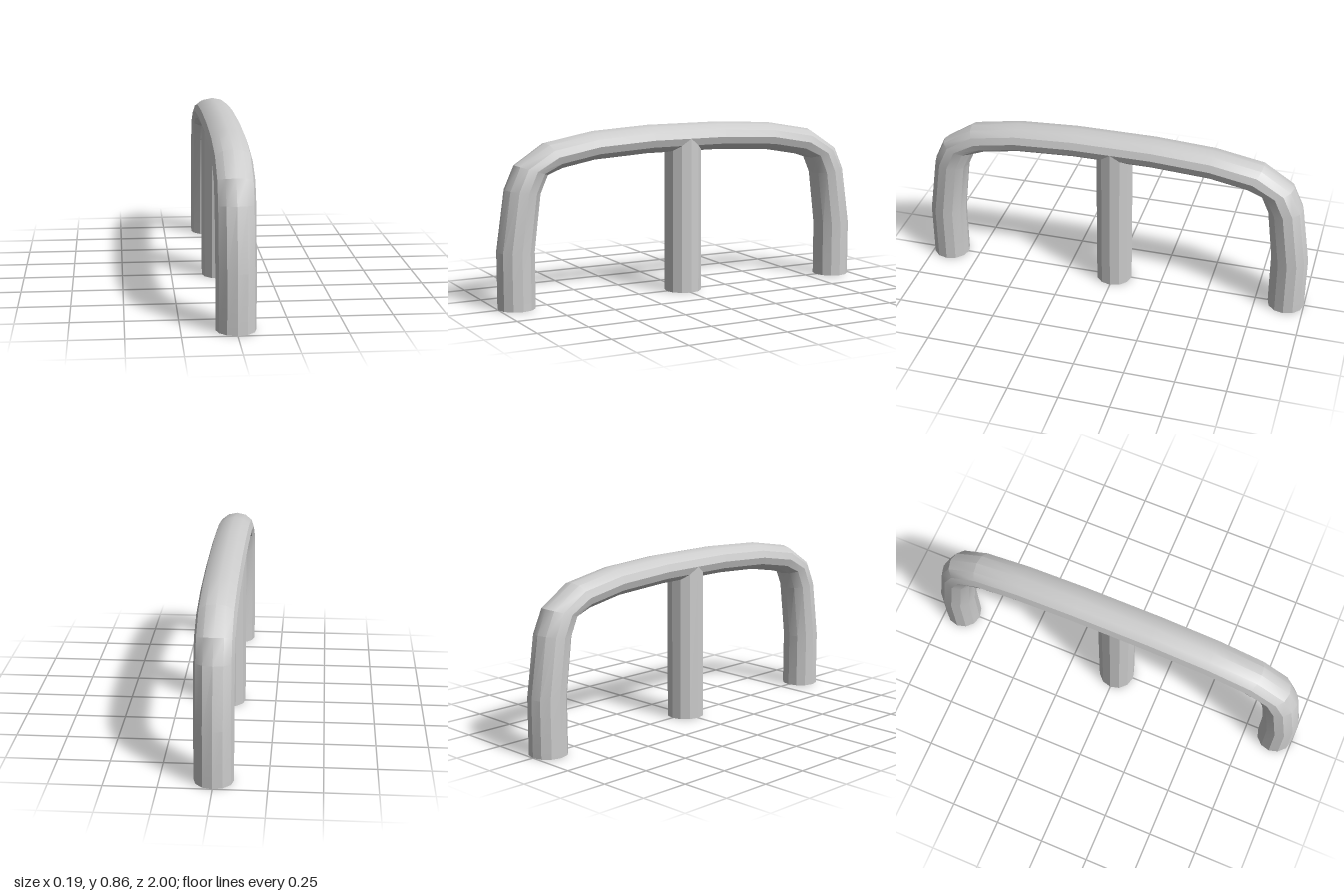
import * as THREE from 'three';
import { toCreasedNormals, mergeVertices } from 'three/addons/utils/BufferGeometryUtils.js';

const SIDES = 12;
const RADIUS = 0.093;
const CREASE = 0.5;

// Half of the bent tube: [outer z, outer y, inner z, inner y], foot to crown.
const HALF = [
  [1, 0, 0.814, 0],
  [1, 0.28, 0.814, 0.28],
  [0.955, 0.577, 0.78, 0.555],
  [0.902, 0.692, 0.742, 0.64],
  [0.747, 0.794, 0.672, 0.664],
  [0.5, 0.838, 0.49, 0.697],
  [0.2, 0.855, 0.2, 0.713],
];

// Sweeps elliptical cross-sections along the stations and caps both feet.
function bentTube(stations) {
  const pos = [], idx = [];
  for (const [oz, oy, iz, iy] of stations) {
    for (let j = 0; j < SIDES; j++) {
      const a = (j / SIDES) * Math.PI * 2, s = Math.sin(a) / 2;
      pos.push(RADIUS * Math.cos(a), (oy + iy) / 2 + (oy - iy) * s, (oz + iz) / 2 + (oz - iz) * s);
    }
  }
  const last = (stations.length - 1) * SIDES;
  for (let i = 0; i < last; i += SIDES) {
    for (let j = 0; j < SIDES; j++) {
      const k = (j + 1) % SIDES;
      const a = i + j, b = i + k, c = a + SIDES, d = b + SIDES;
      idx.push(a, c, b, b, c, d);
    }
  }
  for (let j = 1; j < SIDES - 1; j++) {
    idx.push(0, j, j + 1, last, last + j + 1, last + j);
  }
  const g = new THREE.BufferGeometry();
  g.setAttribute('position', new THREE.Float32BufferAttribute(pos, 3));
  g.setIndex(idx);
  return toCreasedNormals(mergeVertices(g), CREASE);
}

export function createModel() {
  const group = new THREE.Group();
  group.name = 'archedRail';
  const material = new THREE.MeshStandardMaterial({ color: 0xcccccc });

  // Arched tube forming the two end legs and the crossbar
  const mirrored = HALF.map(([oz, oy, iz, iy]) => [-oz, oy, -iz, iy]).reverse();
  const arch = new THREE.Mesh(bentTube([...HALF, ...mirrored]), material);
  arch.name = 'archedTube';
  group.add(arch);

  // Centre post, ending at the mid-height of the crossbar
  const height = 0.783;
  const postGeometry = new THREE.CylinderGeometry(RADIUS, RADIUS, height, SIDES);
  const post = new THREE.Mesh(toCreasedNormals(postGeometry, CREASE), material);
  post.position.y = height / 2;
  post.name = 'centrePost';
  group.add(post);

  return group;
}
